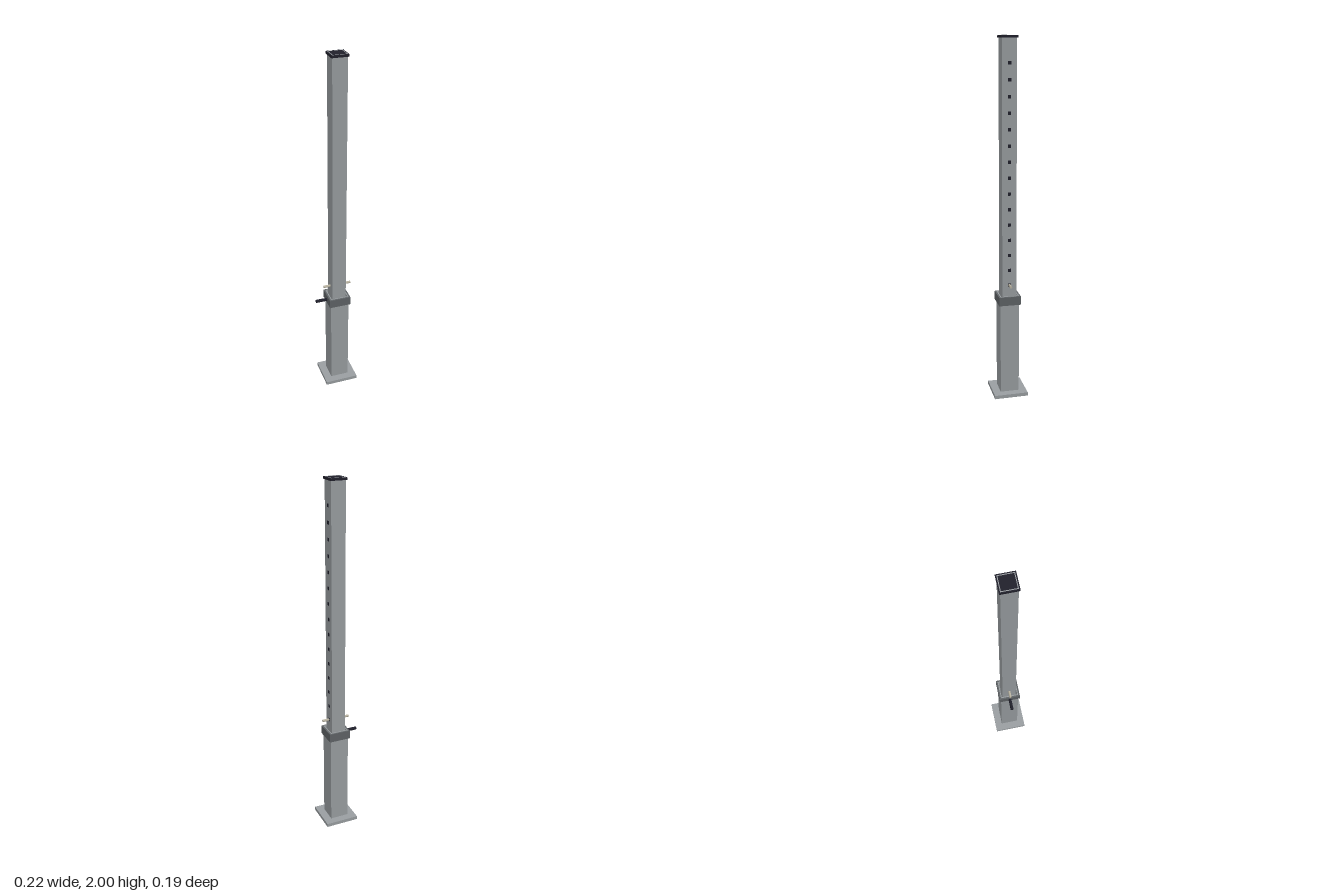
import * as THREE from 'three';

const CX = 0.016; // post axis; the lever sticks out further on -x

export function createModel() {
  const model = new THREE.Group();
  model.name = 'telescopicPost';

  const mat = (name, color) => {
    const m = new THREE.MeshStandardMaterial({ color });
    m.name = name;
    return m;
  };
  const steel = mat('galvanised steel', 0x999ea1);
  const darkSteel = mat('dark steel', 0x5f6366);
  const plastic = mat('black plastic', 0x20202b);
  const zinc = mat('pale zinc', 0xb8b2a0);

  const add = (name, geometry, material, x, y, z = 0) => {
    const mesh = new THREE.Mesh(geometry, material);
    mesh.name = name;
    mesh.position.set(x, y, z);
    model.add(mesh);
    return mesh;
  };

  // Square hollow section standing from y0 to y1
  const squareTube = (outer, inner, y0, y1) => {
    const square = (Path, s) => {
      const h = s / 2;
      return new Path([[-h, -h], [h, -h], [h, h], [-h, h]].map(([a, b]) => new THREE.Vector2(a, b)));
    };
    const shape = square(THREE.Shape, outer);
    shape.holes.push(square(THREE.Path, inner));
    return new THREE.ExtrudeGeometry(shape, { depth: y1 - y0, bevelEnabled: false })
      .rotateX(-Math.PI / 2).translate(0, y0, 0);
  };

  // Cylinder lying along x between x0 and x1
  const rod = (name, radius, x0, x1, y, material) =>
    add(name, new THREE.CylinderGeometry(radius, radius, x1 - x0, 16).rotateZ(Math.PI / 2),
      material, (x0 + x1) / 2, y);

  // Base plate and outer sleeve
  add('basePlate', new THREE.BoxGeometry(0.192, 0.02, 0.192), steel, CX, 0.01);
  add('outerTube', squareTube(0.106, 0.096, 0.02, 0.595), steel, CX, 0);

  // Clamping collar around the sleeve's top
  add('collar', squareTube(0.124, 0.105, 0.545, 0.594), darkSteel, CX, 0);

  // Sliding inner tube
  add('innerTube', squareTube(0.08, 0.072, 0.3, 2), steel, CX, 0);

  // End cap: rim around the tube and plug inside it
  add('capRim', squareTube(0.091, 0.0795, 1.987, 1.9992), plastic, CX, 0);
  add('capPlug', new THREE.BoxGeometry(0.0725, 0.03, 0.0725), plastic, CX, 1.9842);

  // Row of adjustment holes on the left face
  const holeGeometry = new THREE.BoxGeometry(0.002, 0.018, 0.018);
  for (let i = 0; i < 15; i++) {
    add('adjustmentHole', holeGeometry, plastic, CX + 0.04, 0.658 + i * 0.086);
  }

  // Locking pin through the lowest hole, and the clamp lever
  rod('lockingPin', 0.007, -0.064, 0.096, 0.658, zinc);
  rod('clampLever', 0.009, -0.112, -0.044, 0.566, plastic);

  return model;
}
